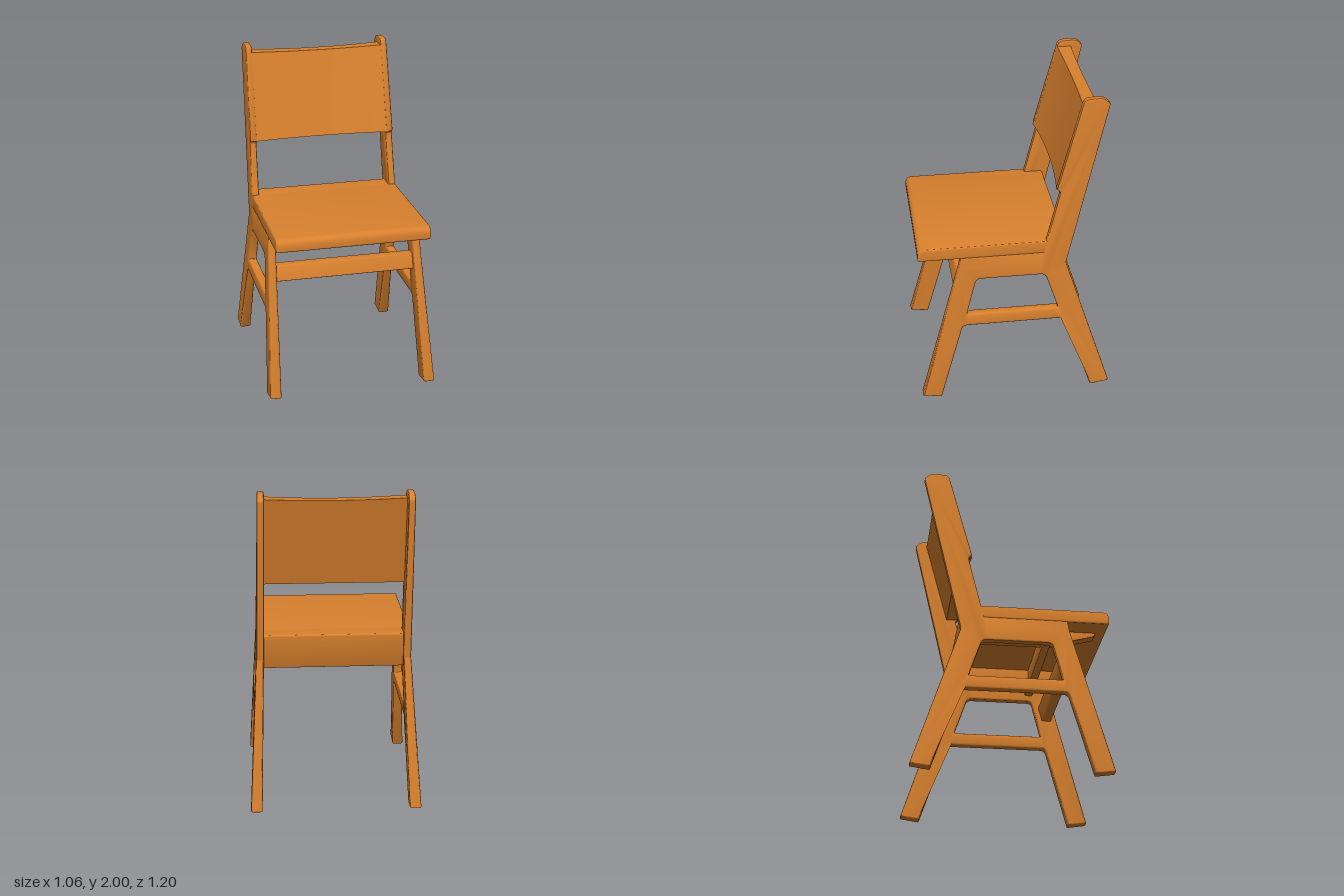
import * as THREE from 'three';
import { toCreasedNormals } from 'three/addons/utils/BufferGeometryUtils.js';

const wood = new THREE.MeshStandardMaterial({ color: 0xd9812e });
wood.name = 'orange wood';

// Closed outline of [z, y, radius] corners, each corner rounded by its radius.
function outline(points, target = new THREE.Shape()) {
  const v = points.map(([z, y]) => new THREE.Vector2(z, y));
  const n = v.length;
  points.forEach(([, , r = 0.006], i) => {
    const toward = (q) => q.clone().sub(v[i]).setLength(r).add(v[i]);
    const a = toward(v[(i + n - 1) % n]);
    const b = toward(v[(i + 1) % n]);
    if (i === 0) target.moveTo(a.x, a.y);
    else target.lineTo(a.x, a.y);
    target.quadraticCurveTo(v[i].x, v[i].y, b.x, b.y);
  });
  target.closePath();
  return target;
}

// Side profile extruded across x, centred on x = 0, with softened edges.
function acrossX(shape, width, bevel) {
  const geo = new THREE.ExtrudeGeometry(shape, {
    depth: width - 2 * bevel, bevelThickness: bevel, bevelSize: bevel,
    bevelOffset: -bevel, bevelSegments: 3, curveSegments: 5,
  });
  geo.translate(0, 0, bevel - width / 2);
  geo.rotateY(-Math.PI / 2);
  return geo;
}

function lerpTable(rows, y) {
  for (let i = 1; i < rows.length; i++) {
    if (y <= rows[i][0] || i === rows.length - 1) {
      const [y0, a] = rows[i - 1];
      const [y1, b] = rows[i];
      return a + ((b - a) * (y - y0)) / (y1 - y0);
    }
  }
}

export function createModel() {
  const chair = new THREE.Group();
  chair.name = 'chair';
  const add = (name, geo, x = 0) => {
    const mesh = new THREE.Mesh(toCreasedNormals(geo, 0.6), wood);
    mesh.name = name;
    mesh.position.x = x;
    chair.add(mesh);
  };

  // Side frames: legs, side rail, stretcher and back post in one piece
  const frame = outline([
    [0.60, 0.018], [0.352, 0.93], [0.34, 0.995], [-0.17, 0.995], [-0.19, 1.07, 0.02],
    [-0.27, 1.40, 0.012], [-0.248, 1.42], [-0.402, 1.995, 0.03], [-0.515, 2.0, 0.03],
    [-0.555, 1.96, 0.01], [-0.312, 0.91], [-0.60, 0.018], [-0.48, 0],
    [-0.305, 0.515, 0.03], [0.335, 0.515, 0.03], [0.48, 0],
  ]);
  frame.holes.push(outline([
    [0.245, 0.84, 0.03], [-0.183, 0.84, 0.03], [-0.265, 0.595, 0.01], [0.308, 0.595, 0.01],
  ], new THREE.Path()));
  const outer = [[0, 0.53], [0.92, 0.481], [2, 0.462]];
  const inner = [[0, 0.459], [0.92, 0.433], [2, 0.42]];
  for (const side of [1, -1]) {
    const geo = acrossX(frame, 0.07, 0.012);
    const p = geo.attributes.position;
    // splay the legs outward and taper the posts
    for (let i = 0; i < p.count; i++) {
      const o = lerpTable(outer, p.getY(i));
      const n = lerpTable(inner, p.getY(i));
      p.setX(i, (side * (o + n)) / 2 + (p.getX(i) / 0.07) * (o - n));
    }
    add(side > 0 ? 'leftSideFrame' : 'rightSideFrame', geo);
  }

  // Seat board with a rounded front edge
  add('seat', acrossX(outline([
    [0.60, 0.99, 0.012], [0.60, 1.07, 0.045], [-0.20, 1.07], [-0.20, 0.99],
  ]), 0.956, 0.008));

  // Rear of the seat, turned down into the back apron
  add('backApron', acrossX(outline([
    [-0.19, 1.07], [-0.31, 1.07, 0.012], [-0.285, 0.85], [-0.235, 0.85],
    [-0.245, 0.99], [-0.19, 0.99],
  ]), 0.88, 0.004));

  // Cross rails between the side frames
  add('frontRail', acrossX(outline([
    [0.375, 0.705], [0.35, 0.80], [0.29, 0.80], [0.315, 0.705],
  ]), 0.89, 0.004));
  add('underSeatRail', acrossX(outline([
    [0.25, 0.99], [0.25, 0.88], [0.20, 0.88], [0.20, 0.99],
  ]), 0.88, 0.004));

  // Two tapered bearers running front to back under the seat
  for (const x of [0.303, -0.303]) {
    add('seatBearer', acrossX(outline([
      [0.54, 0.995], [0.53, 0.968, 0.012], [0.30, 0.905, 0.02], [-0.25, 0.905], [-0.25, 0.995],
    ]), 0.07, 0.005), x);
  }

  // Backrest panel: leaning box with a hollowed front
  const back = new THREE.BoxGeometry(0.9, 1, 1, 20, 4, 1);
  const p = back.attributes.position;
  for (let i = 0; i < p.count; i++) {
    const x = p.getX(i);
    const t = p.getY(i) + 0.5;
    const bow = 1 - (x / 0.45) ** 2;
    const isFront = p.getZ(i) > 0;
    const y = 1.405 + t * (0.555 - 0.012 * bow) + (isFront ? 0.008 * (1 - t) : 0);
    const lean = -0.248 - (y - 1.42) * 0.268;
    p.setXYZ(i, x, y, isFront ? lean - bow * (0.028 - 0.012 * t) : lean - 0.088);
  }
  add('backrest', back);

  return chair;
}
